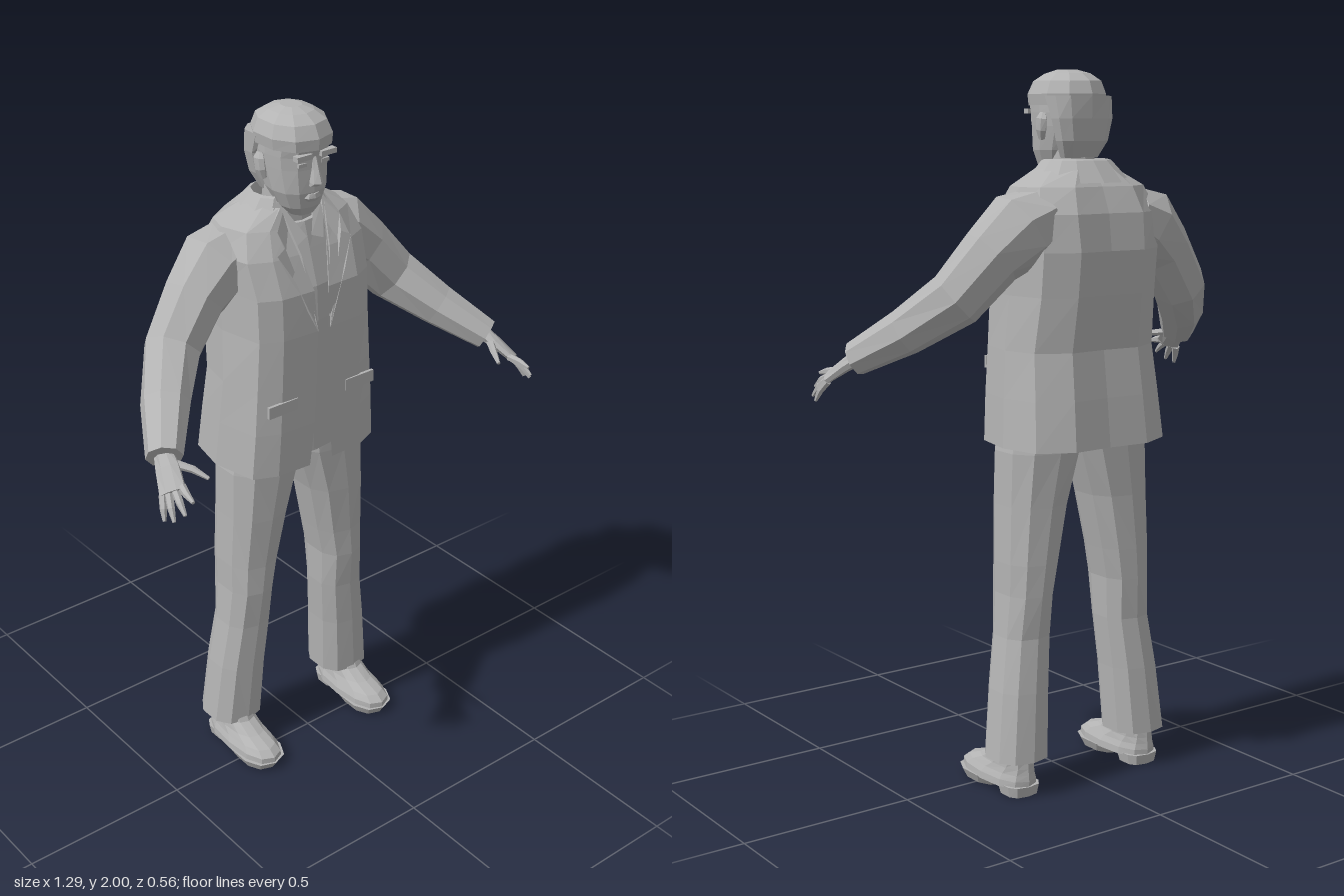
import * as THREE from 'three';

const V = (x, y, z) => new THREE.Vector3(x, y, z);

// Faceted skin over a list of rings (points run counter-clockwise about the loft direction)
function loft(rings, closed = true) {
  const pos = [];
  const tri = (...p) => p.forEach((q) => pos.push(q.x, q.y, q.z));
  const n = rings[0].length;
  for (let i = 0; i + 1 < rings.length; i++) {
    for (let j = 0; j < (closed ? n : n - 1); j++) {
      const k = (j + 1) % n;
      const [a, b, c, d] = [rings[i][j], rings[i][k], rings[i + 1][k], rings[i + 1][j]];
      tri(a, b, c);
      tri(a, c, d);
    }
  }
  if (closed) {
    [rings[0], rings[rings.length - 1]].forEach((r, end) => {
      const m = r.reduce((s, p) => s.add(p), V(0, 0, 0)).divideScalar(n);
      for (let j = 0; j < n; j++) {
        const k = (j + 1) % n;
        if (end) tri(r[j], r[k], m);
        else tri(r[k], r[j], m);
      }
    });
  }
  const g = new THREE.BufferGeometry();
  g.setAttribute('position', new THREE.Float32BufferAttribute(pos, 3));
  g.computeVertexNormals();
  return g;
}

// Horizontal rounded ring; an arc from a0 to a1 when given (0 is the front)
function ring(y, cx, hw, zf, zb, n = 12, p = 0.8, a0 = 0, a1 = null) {
  const pw = (t) => Math.sign(t) * Math.pow(Math.abs(t), p);
  return Array.from({ length: n }, (_, i) => {
    const a = a1 === null ? (i / n) * Math.PI * 2 : a0 + ((a1 - a0) * i) / (n - 1);
    return V(cx + hw * pw(Math.sin(a)), y, (zf + zb) / 2 + ((zf - zb) / 2) * pw(Math.cos(a)));
  });
}

// Stack of rings from rows of [y, half width, front z, back z]
const stack = (rows, cx = 0, n = 12, p = 0.8) => loft(rows.map(([y, hw, zf, zb]) => ring(y, cx, hw, zf, zb, n, p)));

// Limb along rows of [x, y, z, thickness, width]; width runs along ref
function limb(rows, ref, n = 8) {
  const c = rows.map((r) => V(r[0], r[1], r[2]));
  return loft(rows.map((r, i) => {
    const d = c[Math.min(i + 1, c.length - 1)].clone().sub(c[Math.max(i - 1, 0)]).normalize();
    const v = ref.clone().addScaledVector(d, -ref.dot(d)).normalize();
    const u = v.clone().cross(d);
    return Array.from({ length: n }, (_, j) => {
      const a = ((j + 0.5) / n) * Math.PI * 2;
      return c[i].clone().addScaledVector(u, Math.cos(a) * r[3]).addScaledVector(v, Math.sin(a) * r[4]);
    });
  }));
}

// Thin plate fanned from its first corner
function plate(pts) {
  const p = [];
  for (let i = 1; i + 1 < pts.length; i++) p.push(...pts[0], ...pts[i], ...pts[i + 1]);
  const g = new THREE.BufferGeometry();
  g.setAttribute('position', new THREE.Float32BufferAttribute(p, 3));
  g.computeVertexNormals();
  return g;
}

const box = (w, h, d, x, y, z) => new THREE.BoxGeometry(w, h, d).translate(x, y, z).toNonIndexed();

// Copy to the other side in x, keeping faces outward
function mirror(geometry) {
  const g = geometry.clone();
  const p = g.attributes.position;
  for (let i = 0; i < p.count; i += 3) {
    const t = [0, 2, 1].map((k) => [-p.getX(i + k), p.getY(i + k), p.getZ(i + k)]);
    t.forEach((q, k) => p.setXYZ(i + k, ...q));
  }
  g.computeVertexNormals();
  return g;
}

export function createModel() {
  const model = new THREE.Group();
  model.name = 'standingMan';
  const grey = new THREE.MeshStandardMaterial({ color: 0xb3b3b3, side: THREE.DoubleSide });
  grey.name = 'grey';
  const add = (name, g) => {
    const mesh = new THREE.Mesh(g, grey);
    mesh.name = name;
    model.add(mesh);
  };
  const pair = (name, g) => {
    add(name + 'Left', g);
    add(name + 'Right', mirror(g));
  };

  // Head, hair and neck
  add('head', stack([
    [1.715, 0.035, 0.002, -0.07], [1.74, 0.058, 0.017, -0.1], [1.785, 0.078, 0.028, -0.13],
    [1.85, 0.087, 0.03, -0.165], [1.885, 0.09, 0.032, -0.17], [1.92, 0.09, 0.042, -0.17],
  ], 0, 12, 0.85));
  add('hairCap', stack([
    [1.905, 0.096, 0.046, -0.182], [1.935, 0.1, 0.048, -0.185],
    [1.97, 0.086, 0.03, -0.172], [1.99, 0.058, -0.005, -0.14], [2.0, 0.028, -0.04, -0.1],
  ], 0, 10, 0.9));
  add('hairBack', stack([
    [1.765, 0.058, -0.1, -0.152], [1.81, 0.08, -0.1, -0.178], [1.87, 0.094, -0.095, -0.184], [1.93, 0.099, -0.06, -0.185],
  ], 0, 10));
  add('neck', stack([[1.62, 0.075, -0.02, -0.18], [1.69, 0.064, -0.025, -0.165], [1.79, 0.06, -0.02, -0.15]], 0, 10));
  add('nose', stack([[1.805, 0.018, 0.04, 0.01], [1.815, 0.018, 0.058, 0.01], [1.85, 0.011, 0.046, 0.01], [1.885, 0.009, 0.034, 0.01]], 0, 6, 1));
  add('lips', stack([[1.76, 0.02, 0.028, 0], [1.77, 0.028, 0.034, 0], [1.782, 0.022, 0.032, 0]], 0, 8, 1));
  pair('brow', box(0.05, 0.014, 0.02, 0.04, 1.89, 0.03));
  pair('eye', box(0.026, 0.01, 0.009, 0.038, 1.866, 0.023));
  pair('ear', limb([[0.088, 1.815, -0.075, 0.008, 0.01], [0.094, 1.84, -0.08, 0.012, 0.02], [0.096, 1.87, -0.085, 0.011, 0.022], [0.092, 1.885, -0.085, 0.006, 0.012]], V(0, 0, 1), 6));

  // Shirt, seen through the open jacket
  add('shirt', stack([
    [1.01, 0.19, 0.036, -0.22], [1.25, 0.175, 0.042, -0.2], [1.42, 0.17, 0.046, -0.22],
    [1.52, 0.165, 0.04, -0.22], [1.62, 0.14, 0.008, -0.21], [1.69, 0.09, -0.014, -0.19],
  ]));
  add('shirtPlacket', plate([[-0.012, 1.02, 0.042], [0.012, 1.02, 0.042], [0.012, 1.42, 0.052], [-0.012, 1.42, 0.052]]));
  pair('shirtCollar', plate([[0.008, 1.655, 0.006], [0.045, 1.64, 0.012], [0.085, 1.735, -0.04], [0.06, 1.75, -0.05]]));

  // Jacket body: [y, half gap, half width, front z, back z]
  const jacket = [
    [0.985, 0.04, 0.245, 0.06, -0.28], [1.12, 0.026, 0.235, 0.065, -0.265], [1.25, 0.02, 0.225, 0.065, -0.248],
    [1.4, 0.016, 0.215, 0.065, -0.268], [1.52, 0.025, 0.215, 0.06, -0.28], [1.62, 0.045, 0.222, 0.026, -0.268],
    [1.69, 0.06, 0.195, -0.008, -0.238], [1.738, 0.07, 0.115, -0.03, -0.198],
  ];
  add('jacket', loft(jacket.map(([y, gap, hw, zf, zb]) => {
    const half = [
      [gap, zf], [0.6 * hw, zf - 0.005], [0.88 * hw, zf - 0.035], [hw, (zf + zb) / 2],
      [0.9 * hw, zb + 0.05], [0.5 * hw, zb], [0, zb + 0.008],
    ];
    return [...half, ...half.slice(0, -1).reverse().map(([x, z]) => [-x, z])].map(([x, z]) => V(x, y, z));
  }), false));
  add('jacketCollar', loft([
    [1.7, 0.15, 0.002, -0.238], [1.758, 0.1, -0.035, -0.19], [1.762, 0.088, -0.04, -0.18], [1.7, 0.08, -0.04, -0.175],
  ].map(([y, hw, zf, zb]) => ring(y, 0, hw, zf, zb, 11, 0.85, 0.75, Math.PI * 2 - 0.75)), false));
  pair('lapel', plate([[0.02, 1.4, 0.073], [0.085, 1.56, 0.056], [0.125, 1.635, 0.03], [0.095, 1.65, 0.024], [0.105, 1.69, 0.004], [0.07, 1.73, -0.018], [0.048, 1.62, 0.034]]));
  pair('pocketFlap', box(0.1, 0.035, 0.009, 0.135, 1.2, 0.061));

  // Sleeves
  pair('sleeve', limb([
    [0.14, 1.61, -0.145, 0.085, 0.1], [0.205, 1.58, -0.142, 0.108, 0.106], [0.29, 1.51, -0.125, 0.088, 0.09],
    [0.385, 1.4, -0.095, 0.08, 0.08], [0.48, 1.31, 0.005, 0.063, 0.07], [0.568, 1.232, 0.122, 0.046, 0.052],
  ], V(0, 0, 1)));

  // Hands
  const across = V(0.04, -0.02, -0.03);
  pair('palm', limb([[0.56, 1.24, 0.105, 0.022, 0.026], [0.578, 1.215, 0.15, 0.018, 0.034], [0.602, 1.177, 0.205, 0.013, 0.038]], across));
  const fingers = {
    indexFinger: [[0.578, 1.19, 0.21], [0.587, 1.185, 0.245], [0.59, 1.178, 0.278]],
    middleFinger: [[0.594, 1.18, 0.205], [0.606, 1.163, 0.243], [0.61, 1.143, 0.27]],
    ringFinger: [[0.608, 1.173, 0.195], [0.623, 1.148, 0.226], [0.63, 1.121, 0.248]],
    littleFinger: [[0.619, 1.167, 0.185], [0.632, 1.14, 0.204], [0.639, 1.112, 0.217]],
    thumb: [[0.558, 1.222, 0.15], [0.53, 1.215, 0.195], [0.511, 1.2, 0.236]],
  };
  const fingerRadius = [0.012, 0.01, 0.005];
  for (const [name, path] of Object.entries(fingers)) {
    pair(name, limb(path.map((p, i) => [...p, fingerRadius[i], fingerRadius[i]]), across, 6));
  }

  // Trouser legs: [y, inner x, outer x, front z, back z]
  pair('trouserLeg', loft([
    [0.105, 0.125, 0.295, -0.028, -0.205], [0.3, 0.115, 0.273, -0.02, -0.192], [0.45, 0.102, 0.25, -0.012, -0.178],
    [0.57, 0.098, 0.24, 0.002, -0.188], [0.66, 0.08, 0.24, 0.004, -0.192], [0.82, 0.045, 0.236, 0.016, -0.195],
    [0.97, -0.002, 0.234, 0.022, -0.202], [1.08, -0.01, 0.215, 0.024, -0.2],
  ].map(([y, xi, xo, zf, zb]) => ring(y, (xi + xo) / 2, (xo - xi) / 2, zf, zb, 10, 0.82))));

  // Shoes
  pair('shoe', stack([
    [0.025, 0.066, 0.108, -0.184], [0.045, 0.064, 0.108, -0.186], [0.062, 0.056, 0.085, -0.184],
    [0.08, 0.05, 0.03, -0.182], [0.105, 0.047, -0.02, -0.18], [0.14, 0.046, -0.04, -0.175],
  ], 0.214, 12, 0.85));
  pair('shoeSole', stack([[0, 0.056, 0.095, -0.06], [0.028, 0.07, 0.113, -0.09]], 0.214, 10, 0.85));
  pair('shoeHeel', stack([[0, 0.048, -0.085, -0.182], [0.03, 0.054, -0.075, -0.188]], 0.214, 10, 0.7));

  return model;
}
